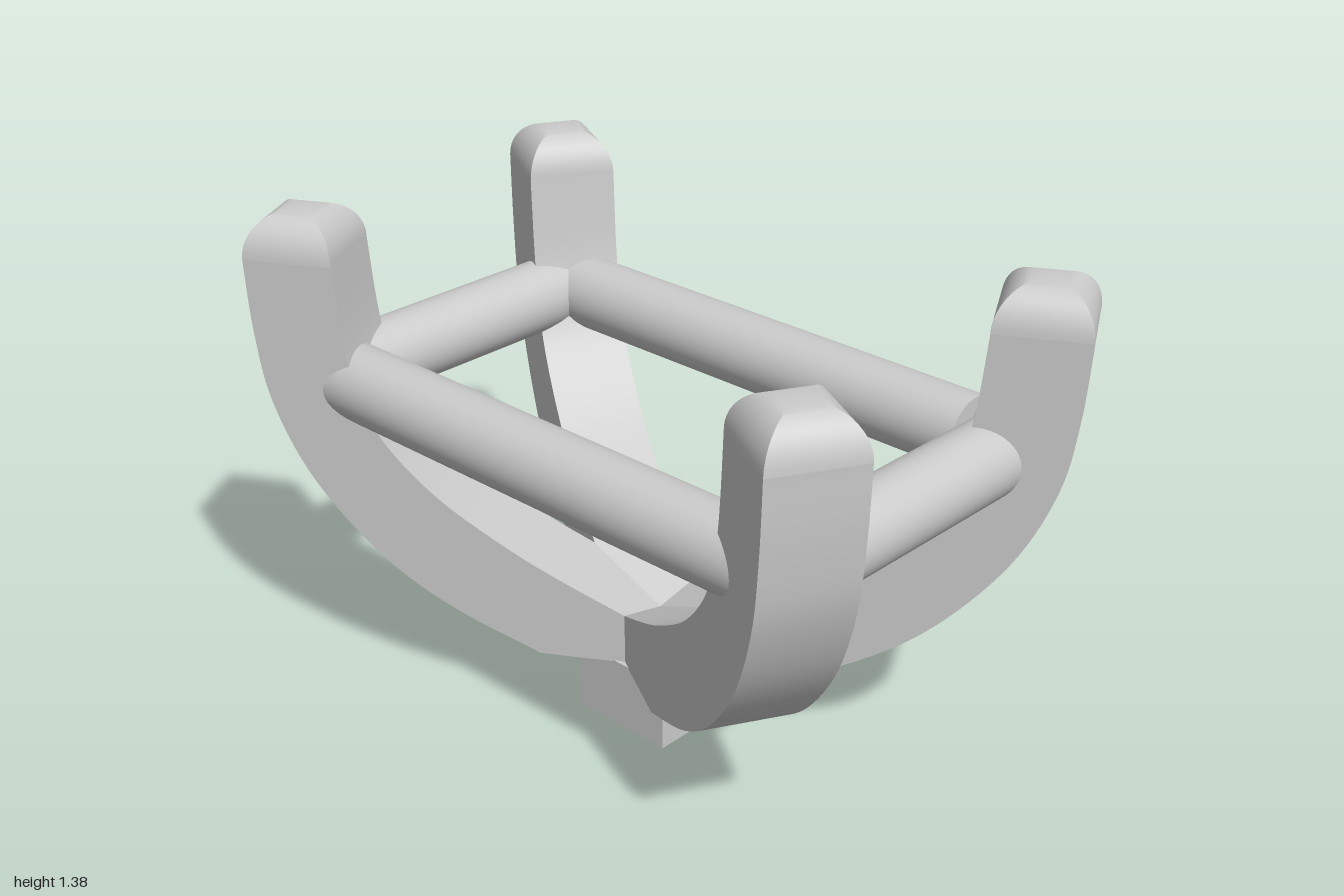
import * as THREE from 'three';
import { toCreasedNormals } from 'three/addons/utils/BufferGeometryUtils.js';

const ARM_WIDTH = 0.244;
const ARM_ANGLE = THREE.MathUtils.degToRad(61);
const INNER_R = 0.834, OUTER_R = 1.077, SHOULDER_Y = 1.26, TOP_Y = 1.372;
const ROD_Y = 0.91, ROD_RADIUS = 0.103;

const material = new THREE.MeshStandardMaterial({ color: 0xcccccc });

function addMesh(parent, name, geometry) {
  const mesh = new THREE.Mesh(geometry, material);
  mesh.name = name;
  parent.add(mesh);
  return mesh;
}

// Curved arm profile (radius, height), extruded to the arm width
function armGeometry() {
  const v = (x, y) => new THREE.Vector2(x, y);
  const shape = new THREE.Shape();
  shape.moveTo(0, 0.2);
  shape.lineTo(0.305, 0.19);
  shape.splineThru([
    v(0.56, 0.303), v(0.755, 0.44), v(0.93, 0.645),
    v(1.03, 0.86), v(1.065, 1.06), v(OUTER_R, SHOULDER_Y),
  ]);
  shape.lineTo(INNER_R, SHOULDER_Y);
  shape.splineThru([
    v(0.806, 1.0), v(0.742, 0.81), v(0.59, 0.64),
    v(0.39, 0.505), v(0.22, 0.415), v(0, 0.314),
  ]);
  const geometry = new THREE.ExtrudeGeometry(shape, {
    depth: ARM_WIDTH, bevelEnabled: false, curveSegments: 6,
  });
  geometry.translate(0, 0, -ARM_WIDTH / 2);
  return toCreasedNormals(geometry, 0.5);
}

// Four-sided domed tip
function tipGeometry() {
  const corner = ARM_WIDTH / Math.SQRT2;
  const profile = [];
  for (let i = 0; i <= 10; i++) {
    const t = (i / 10) * Math.PI / 2;
    profile.push(new THREE.Vector2(
      corner * (0.25 + 0.75 * Math.cos(t)),
      SHOULDER_Y + (TOP_Y - SHOULDER_Y) * Math.sin(t)));
  }
  profile.push(new THREE.Vector2(0, TOP_Y + 0.003));
  const geometry = new THREE.LatheGeometry(profile, 4);
  geometry.rotateY(Math.PI / 4);
  geometry.translate((INNER_R + OUTER_R) / 2, 0, 0);
  return toCreasedNormals(geometry, 0.5);
}

export function createModel() {
  const model = new THREE.Group();
  model.name = 'cradle';

  // Square mounting block
  addMesh(model, 'base', new THREE.BoxGeometry(0.31, 0.2, 0.31)).position.y = 0.1;

  // Four arms crossing at the centre
  const arm = armGeometry();
  const tip = tipGeometry();
  const arms = {
    frontLeftArm: ARM_ANGLE,
    frontRightArm: Math.PI - ARM_ANGLE,
    backRightArm: Math.PI + ARM_ANGLE,
    backLeftArm: -ARM_ANGLE,
  };
  for (const [name, angle] of Object.entries(arms)) {
    const group = new THREE.Group();
    group.name = name;
    group.rotation.y = -angle;
    addMesh(group, 'curvedArm', arm);
    addMesh(group, 'armTip', tip);
    model.add(group);
  }

  // Round rails joining the arms
  function rail(name, from, to) {
    const a = new THREE.Vector3(from[0], ROD_Y, from[1]);
    const b = new THREE.Vector3(to[0], ROD_Y, to[1]);
    const geometry = new THREE.CylinderGeometry(ROD_RADIUS, ROD_RADIUS, a.distanceTo(b), 40);
    const mesh = addMesh(model, name, geometry);
    mesh.position.copy(a).add(b).multiplyScalar(0.5);
    mesh.quaternion.setFromUnitVectors(new THREE.Vector3(0, 1, 0), b.sub(a).normalize());
  }
  rail('frontRail', [-0.43, 0.775], [0.43, 0.775]);
  rail('backRail', [-0.43, -0.78], [0.43, -0.78]);
  rail('leftRail', [0.432, -0.76], [0.432, 0.675]);
  rail('rightRail', [-0.432, -0.76], [-0.432, 0.76]);

  return model;
}
